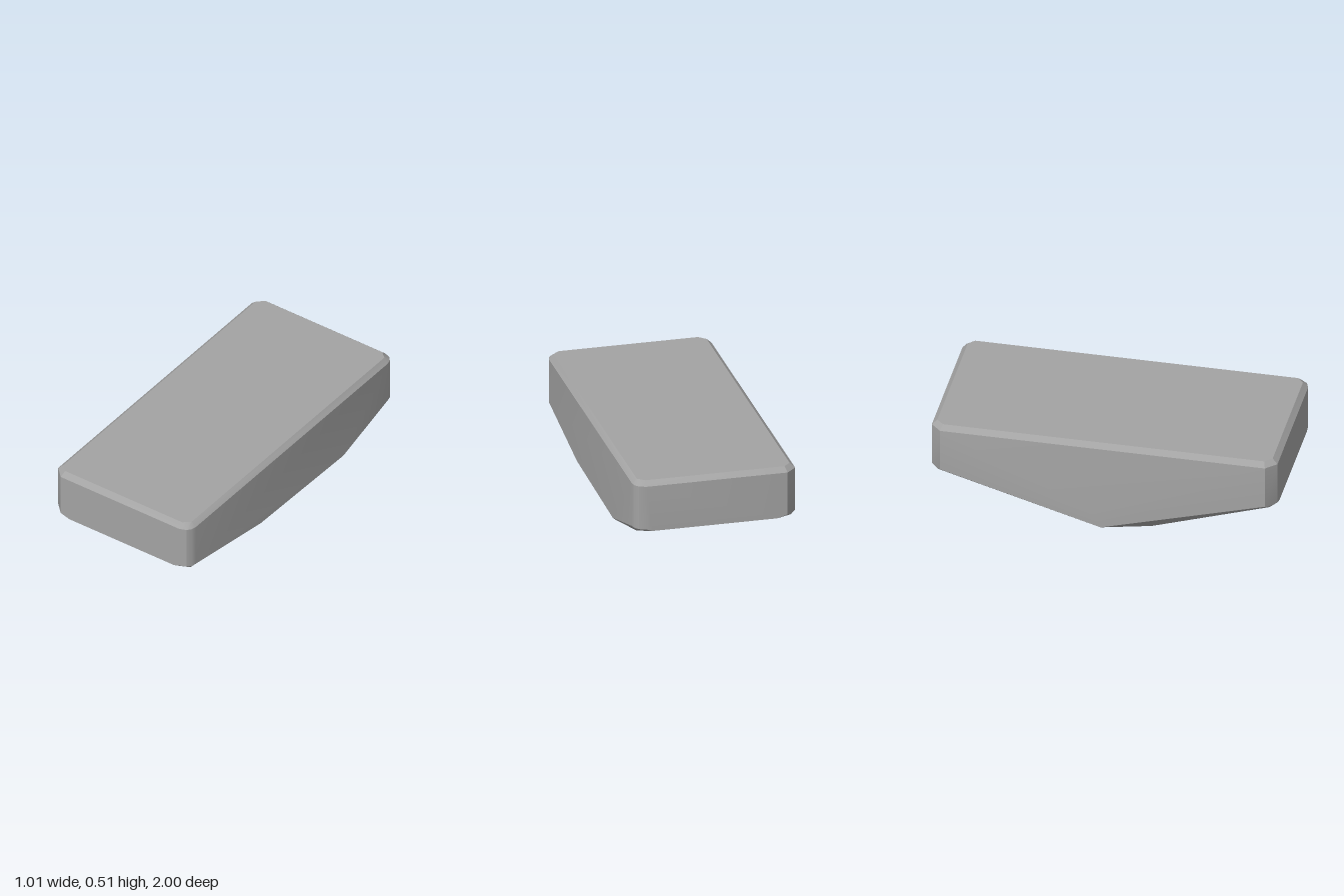
import * as THREE from 'three';
import { ConvexGeometry } from 'three/addons/geometries/ConvexGeometry.js';
import { toCreasedNormals } from 'three/addons/utils/BufferGeometryUtils.js';

export function createModel() {
  const group = new THREE.Group();
  const stone = new THREE.MeshStandardMaterial({ color: 0xa3a3a3 });
  const points = [];
  const add = (x, y, z) => points.push(new THREE.Vector3(x, y, z));

  // Both ends share the same bevelled rim and corner posts
  for (const s of [-1, 1]) {
    // flat top, inset from the sides
    add(-0.42, 0.515, 0.93 * s);
    add(-0.38, 0.515, 0.97 * s);
    add(0.435, 0.515, 0.97 * s);
    add(0.475, 0.515, 0.935 * s);
    // cut corner on the bulging side
    for (const y of [0.487, 0.23]) {
      add(-0.45, y, 0.94 * s);
      add(-0.39, y, s);
    }
    // rounded corner on the flat side
    for (const y of [0.487, 0.225]) {
      add(0.435, y, s);
      add(0.475, y, 0.985 * s);
      add(0.495, y, 0.96 * s);
      add(0.502, y, 0.93 * s);
    }
    // lower edge of the end face
    add(-0.33, 0.212, s);
    add(0.4, 0.212, s);
    add(-0.42, 0.212, 0.96 * s);
    add(0.48, 0.205, 0.955 * s);
  }

  // Lower edge of the flat side
  add(0.502, 0.12, 0.3);
  add(0.502, 0.105, -0.3);
  add(0.502, 0.1, -0.5);
  add(0.485, 0.085, -0.5);

  // Sloping keel and bulge
  add(0.31, 0.02, 0);
  add(-0.43, 0, 0.28);
  add(-0.505, 0, 0);
  add(-0.505, 0.1, -0.06);

  const slab = new THREE.Mesh(toCreasedNormals(new ConvexGeometry(points), 0.5), stone);
  slab.name = 'stoneSlab';
  group.add(slab);
  return group;
}
